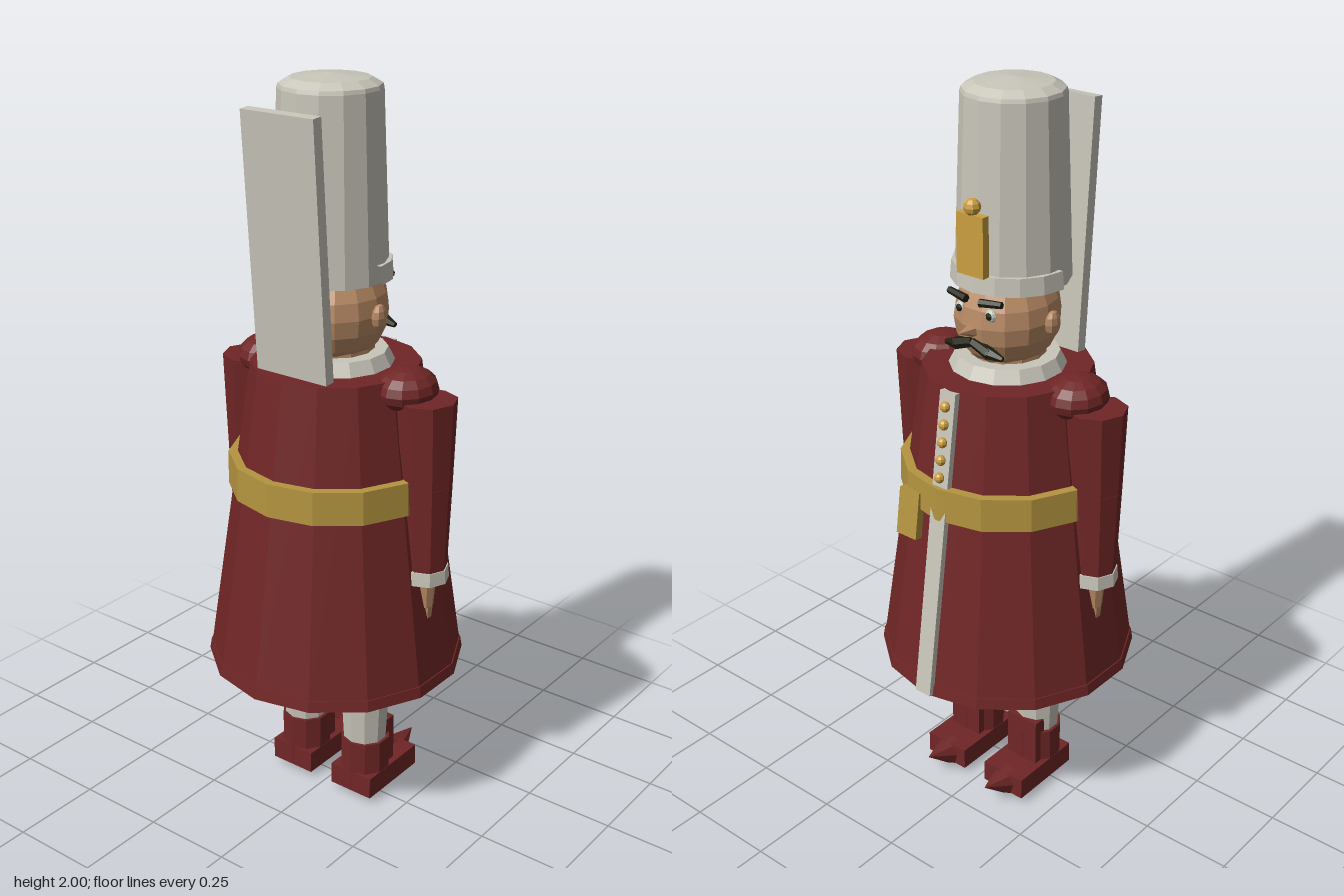
import * as THREE from 'three';

const mat = (name, color) => {
  const m = new THREE.MeshStandardMaterial({ color });
  m.name = name;
  return m;
};

export function createModel() {
  const root = new THREE.Group();
  root.name = 'toySoldier';
  const red = mat('coatRed', 0x702626);
  const white = mat('offWhite', 0xc8c5b9);
  const gold = mat('beltGold', 0xb4943f);
  const brass = mat('brass', 0xcb9f40);
  const skin = mat('skin', 0xb88a64);
  const black = mat('hairBlack', 0x1e2010);
  const eyeWhite = mat('eyeWhite', 0xc2c8c0);

  // Adds a faceted mesh to the model
  const add = (name, geo, material, x = 0, y = 0, z = 0) => {
    const g = geo.index ? geo.toNonIndexed() : geo;
    g.computeVertexNormals();
    const m = new THREE.Mesh(g, material);
    m.name = name;
    m.position.set(x, y, z);
    root.add(m);
    return m;
  };
  // Tapered cylinder standing between two heights
  const taper = (name, material, y0, y1, r0, r1, sides, x = 0, z = 0) =>
    add(name, new THREE.CylinderGeometry(r1, r0, y1 - y0, sides), material, x, (y0 + y1) / 2, z);
  const box = (name, material, w, h, d, x, y, z) =>
    add(name, new THREE.BoxGeometry(w, h, d), material, x, y, z);
  // Tapered rod between two points
  const rod = (name, material, a, b, ra, rb, sides = 6) => {
    const p = new THREE.Vector3(...a), q = new THREE.Vector3(...b);
    const dir = q.clone().sub(p);
    const m = add(name, new THREE.CylinderGeometry(rb, ra, dir.length(), sides), material);
    m.position.copy(p).add(q).multiplyScalar(0.5);
    m.quaternion.setFromUnitVectors(new THREE.Vector3(0, 1, 0), dir.normalize());
    return m;
  };

  // Coat, hem and belt
  const coatRadius = y => 0.347 - 0.125 * (y - 0.42) / 0.85;
  taper('coat', red, 0.42, 1.27, 0.347, 0.222, 14);
  taper('coatHem', red, 0.42, 0.45, 0.351, 0.346, 14);
  taper('belt', gold, 0.925, 1.015, 0.286, 0.284, 14);

  // White strip and buttons down the chest
  const tilt = Math.atan(0.125 / 0.85);
  const strip = box('coatStrip', white, 0.05, 0.85, 0.018, 0, 0.845, -coatRadius(0.845) - 0.002);
  strip.rotation.x = tilt;
  for (let i = 0; i < 5; i++) {
    const y = 1.23 - i * 0.047;
    add('button', new THREE.SphereGeometry(0.014, 8, 6), brass, 0, y, -coatRadius(y) - 0.016);
  }
  box('beltPouch', gold, 0.067, 0.13, 0.03, 0.103, 0.905, -0.268).rotation.x = tilt;

  // Collar, neck and head
  taper('collar', white, 1.265, 1.305, 0.155, 0.135, 14);
  taper('neck', skin, 1.26, 1.34, 0.1, 0.1, 12);
  add('head', new THREE.SphereGeometry(0.145, 14, 10), skin, 0, 1.41, 0).scale.set(0.92, 1, 1);
  rod('nose', skin, [0, 1.4, -0.125], [0, 1.408, -0.19], 0.022, 0.001, 6);

  // Hat with domed top, front peak and badge
  const hatZ = 0.022;
  const hat = [[0, 1.5], [0.148, 1.5], [0.13, 1.965], [0.127, 1.975], [0.1, 1.99], [0, 2]];
  add('hat', new THREE.LatheGeometry(hat.map(p => new THREE.Vector2(...p)), 14), white, 0, 0, hatZ);
  const peak = [[0.14, 1.503], [0.16, 1.5], [0.156, 1.547], [0.14, 1.547], [0.14, 1.503]];
  add('hatPeak', new THREE.LatheGeometry(peak.map(p => new THREE.Vector2(...p)), 8, Math.PI / 2, Math.PI),
    white, 0, 0, hatZ);
  box('hatBadge', brass, 0.084, 0.155, 0.022, 0, 1.623, -0.134);
  add('hatBadgeKnob', new THREE.SphereGeometry(0.022, 8, 6), brass, 0, 1.717, -0.134);

  // Lever on the back
  const lever = box('backLever', white, 0.22, 0.66, 0.03, 0, 1.602, 0.19);
  lever.rotation.x = Math.atan(0.045 / 0.65);

  for (const s of [1, -1]) {
    // Face details
    add('ear', new THREE.SphereGeometry(0.035, 8, 6), skin, s * 0.14, 1.41, 0.005).scale.set(0.45, 1, 0.72);
    add('eye', new THREE.SphereGeometry(0.017, 8, 6), eyeWhite, s * 0.048, 1.447, -0.124).scale.z = 0.6;
    add('pupil', new THREE.SphereGeometry(0.01, 6, 5), black, s * 0.048, 1.447, -0.132).scale.z = 0.6;
    rod('eyebrow', black, [s * 0.022, 1.478, -0.135], [s * 0.085, 1.484, -0.126], 0.011, 0.009);
    rod('moustache', black, [0, 1.37, -0.137], [s * 0.055, 1.352, -0.137], 0.013, 0.017);
    rod('moustacheTip', black, [s * 0.05, 1.354, -0.137], [s * 0.092, 1.345, -0.132], 0.017, 0.007);

    // Arm, from shoulder to hand
    add('shoulder', new THREE.SphereGeometry(0.09, 12, 8), red, s * 0.224, 1.24, 0).scale.set(0.88, 0.62, 1);
    rod('upperArm', red, [s * 0.287, 1.225, 0], [s * 0.293, 1.0, 0], 0.078, 0.066, 8);
    rod('forearm', red, [s * 0.293, 1.0, 0], [s * 0.296, 0.765, 0], 0.066, 0.055, 8);
    taper('cuff', white, 0.73, 0.767, 0.063, 0.06, 8, s * 0.294);
    taper('hand', skin, 0.65, 0.735, 0.023, 0.03, 8, s * 0.294);
    taper('fingers', skin, 0.605, 0.65, 0.018, 0.021, 6, s * 0.294);

    // Leg and boot with pointed toe
    const x = s * 0.105;
    taper('leg', white, 0.16, 0.44, 0.06, 0.075, 10, x, 0.004);
    taper('bootShaft', red, 0.03, 0.18, 0.07, 0.07, 10, x, 0.002);
    box('bootFlap', red, 0.1, 0.16, 0.066, x, 0.142, -0.032);
    box('bootFoot', red, 0.135, 0.062, 0.22, x, 0.054, -0.04);
    rod('bootToe', red, [x, 0.05, -0.135], [x, 0.077, -0.228], 0.045, 0.001, 8);
    add('bootSole', new THREE.CylinderGeometry(0.06, 0.05, 0.025, 8), red, x, 0.0165, -0.09);
  }
  return root;
}
